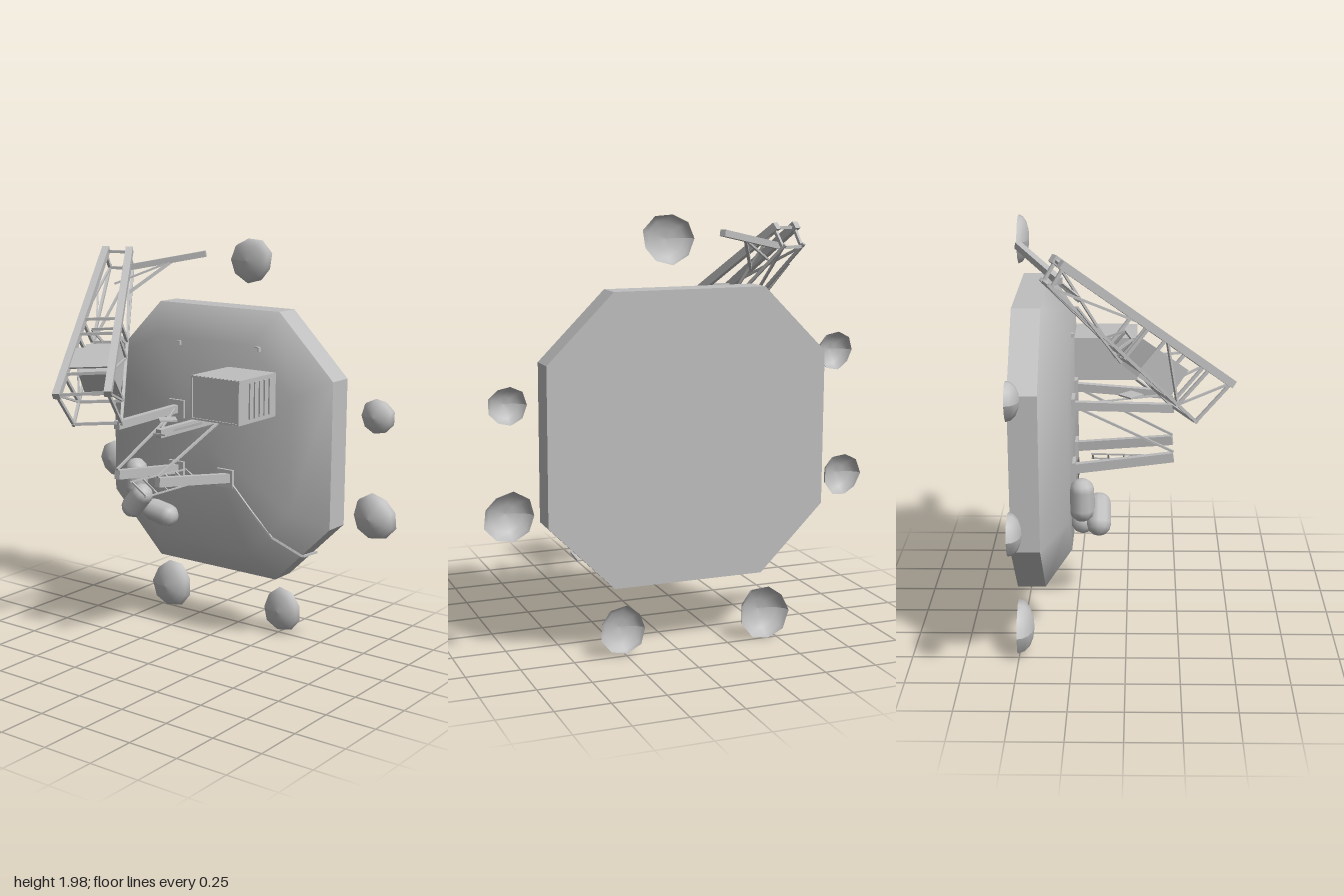
import * as THREE from 'three';

const grey = new THREE.MeshStandardMaterial({ color: 0xbfbfbf, side: THREE.DoubleSide });
grey.name = 'grey';
const V = (x, y, z) => new THREE.Vector3(x, y, z);
const mix = (a, b, t) => a.clone().lerp(b, t);

export function createModel() {
  const root = new THREE.Group();
  root.name = 'station';

  function add(parent, name, geometry, x = 0, y = 0, z = 0) {
    const mesh = new THREE.Mesh(geometry, grey);
    mesh.name = name;
    mesh.position.set(x, y, z);
    parent.add(mesh);
    return mesh;
  }
  // Rectangular bar running from point a to point b
  function bar(parent, name, a, b, w = 0.012, h = w) {
    const mesh = add(parent, name, new THREE.BoxGeometry(w, h, a.distanceTo(b)));
    mesh.position.copy(mix(a, b, 0.5));
    mesh.lookAt(b);
    return mesh;
  }
  function group(name) {
    const g = new THREE.Group();
    g.name = name;
    root.add(g);
    return g;
  }

  // Octagonal slab: smooth bevelled front, flat rim and back
  const slab = group('slab');
  slab.position.set(-0.052, 1.002, 0);
  const c = 0.36, r = 0.667;
  const outline = [[c, -r], [r, -c], [r, c], [c, r], [-c, r], [-r, c], [-r, -c], [-c, -r]];
  const pos = [0, 0, -0.253], idx = [];
  for (const [s, z] of [[0.77, -0.253], [1, -0.375]])
    for (const [x, y] of outline) pos.push(x * s, y * s, z);
  const rim = [];
  for (let i = 0; i < 8; i++) {
    const j = (i + 1) % 8;
    idx.push(0, 1 + i, 1 + j, 1 + i, 9 + i, 9 + j, 1 + i, 9 + j, 1 + j);
    const [a, b] = [outline[i], outline[j]];
    rim.push(...a, -0.375, ...a, -0.505, ...b, -0.505, ...a, -0.375, ...b, -0.505, ...b, -0.375);
  }
  const frontGeo = new THREE.BufferGeometry();
  frontGeo.setAttribute('position', new THREE.Float32BufferAttribute(pos, 3));
  frontGeo.setIndex(idx);
  frontGeo.computeVertexNormals();
  add(slab, 'slabFront', frontGeo);
  const rimGeo = new THREE.BufferGeometry();
  rimGeo.setAttribute('position', new THREE.Float32BufferAttribute(rim, 3));
  rimGeo.computeVertexNormals();
  add(slab, 'slabRim', rimGeo);
  const back = add(slab, 'slabBack', new THREE.ShapeGeometry(
    new THREE.Shape(outline.map(([x, y]) => new THREE.Vector2(x, y)))), 0, 0, -0.505);
  back.rotation.y = Math.PI;

  // Ring of shallow, uneven boulders, open at the back
  const boulders = [
    [0.055, 1.89, 0.125, 0.115, 0.05], [0.79, 1.2, 0.088, 0.09, 0.06],
    [0.79, 0.71, 0.12, 0.115, 0.075], [0.27, 0.135, 0.115, 0.115, 0.055],
    [-0.435, 0.135, 0.125, 0.135, 0.075], [-0.825, 0.77, 0.095, 0.105, 0.06],
    [-0.775, 1.36, 0.088, 0.09, 0.06]];
  boulders.forEach(([x, y, rx, ry, h], n) => {
    const geo = new THREE.SphereGeometry(1, 9, 4, 0, Math.PI * 2, 0, Math.PI / 2);
    geo.rotateX(Math.PI / 2);
    const p = geo.attributes.position;
    for (let i = 0; i < p.count; i++) {
      const a = Math.atan2(p.getY(i), p.getX(i));
      const k = 0.97 + 0.04 * Math.sin(2 * a + n * 1.7) + 0.03 * Math.sin(3 * a + n);
      p.setXYZ(i, p.getX(i) * k * rx, p.getY(i) * k * ry, p.getZ(i) * h);
    }
    geo.computeVertexNormals();
    add(root, 'boulder', geo, x, y, -0.505);
  });

  // Tapering lattice mast: two heavy chords above, two thin chords below
  const mast = group('mast');
  const tops = [V(-0.68, 1.925, -0.27), V(-0.56, 1.925, -0.31), V(-0.695, 1.84, -0.32), V(-0.58, 1.84, -0.36)];
  const ends = [V(-0.355, 1.31, 0.48), V(-0.135, 1.33, 0.37), V(-0.395, 1.14, 0.32), V(-0.19, 1.155, 0.21)];
  const at = (i, t) => mix(tops[i], ends[i], t);
  for (let i = 0; i < 4; i++) {
    const w = i < 2 ? 0.036 : 0.014;
    bar(mast, i < 2 ? 'mainChord' : 'rearChord', tops[i], ends[i], w, w);
  }
  const sides = [[0, 1], [1, 3], [3, 2], [2, 0]];
  for (const t of [0.02, 0.5, 0.6, 0.86, 0.99])
    for (const [i, j] of sides) bar(mast, 'crossbar', at(i, t), at(j, t), 0.014);
  for (const [i, j] of [[1, 3], [2, 0], [3, 2]]) {
    bar(mast, 'diagonal', at(i, 0.02), at(j, 0.5), 0.011);
    bar(mast, 'diagonal', at(j, 0.6), at(i, 0.86), 0.011);
  }
  bar(mast, 'diagonal', at(2, 0.86), at(0, 0.99), 0.01);
  bar(mast, 'diagonal', at(3, 0.86), at(1, 0.99), 0.01);

  // Housing and cover plate held between the chords
  const along = ends[0].clone().add(ends[1]).sub(tops[0]).sub(tops[1]).normalize();
  const across = ends[1].clone().sub(ends[0]).normalize();
  const out = across.clone().cross(along).normalize();
  across.crossVectors(along, out).normalize();
  const turn = new THREE.Matrix4().makeBasis(across, along, out);
  const housing = add(mast, 'housing', new THREE.BoxGeometry(0.17, 0.2, 0.15), -0.37, 1.39, 0.13);
  housing.setRotationFromMatrix(turn);
  const cover = add(mast, 'coverPlate', new THREE.BoxGeometry(0.19, 0.13, 0.009));
  cover.position.copy(mix(at(0, 0.76), at(1, 0.76), 0.5));
  cover.setRotationFromMatrix(turn);

  // Rear step frame and thin stay
  const step = [V(-0.52, 1.56, 0.03), V(-0.41, 1.57, 0.0), V(-0.38, 1.48, -0.07), V(-0.49, 1.47, -0.04)];
  step.forEach((p, i) => bar(mast, 'stepFrame', p, step[(i + 1) % 4], 0.012));
  bar(mast, 'stepStrut', step[0], at(2, 0.45), 0.01);
  bar(mast, 'stepStrut', step[1], at(3, 0.45), 0.01);
  bar(mast, 'stay', V(-0.68, 1.74, -0.2), V(-0.54, 1.46, -0.02), 0.009);

  // Side arm at the mast head
  bar(mast, 'sideArm', V(-0.58, 1.83, -0.28), V(-0.21, 1.91, -0.485), 0.03);
  bar(mast, 'armBrace', V(-0.48, 1.72, -0.2), V(-0.36, 1.87, -0.4), 0.014);
  bar(mast, 'armBrace', V(-0.57, 1.76, -0.2), V(-0.36, 1.87, -0.4), 0.01);

  // Equipment cabinet with raised front border and side slats
  const cabinet = group('cabinet');
  add(cabinet, 'cabinetBody', new THREE.BoxGeometry(0.275, 0.21, 0.295), 0.237, 1.295, -0.105);
  for (const s of [-1, 1]) {
    add(cabinet, 'frontBorder', new THREE.BoxGeometry(0.275, 0.008, 0.008), 0.237, 1.295 + s * 0.1, 0.045);
    add(cabinet, 'frontBorder', new THREE.BoxGeometry(0.008, 0.2, 0.008), 0.237 + s * 0.133, 1.295, 0.045);
  }
  for (let i = 0; i < 5; i++)
    add(cabinet, 'sideSlat', new THREE.BoxGeometry(0.008, 0.17, 0.018), 0.378, 1.295, -0.2 + i * 0.04);

  // Mounting plates, outrigger beams and ties
  const rig = group('outriggers');
  for (const x of [-0.21, 0.09])
    for (const y of [0.847, 1.16])
      add(rig, 'mountPlate', new THREE.BoxGeometry(0.095, 0.09, 0.02), x, y, -0.247);
  const lowTips = [V(-0.21, 0.91, 0.22), V(0.035, 0.91, 0.22)];
  const highTips = [V(-0.21, 1.15, 0.22), V(0.035, 1.14, 0.21)];
  const lowFeet = [V(-0.21, 0.85, -0.25), V(0.11, 0.85, -0.25)];
  const highFeet = [V(-0.21, 1.16, -0.25), V(0.09, 1.16, -0.25)];
  for (let i = 0; i < 2; i++) {
    bar(rig, 'lowerBeam', lowFeet[i], lowTips[i], 0.032, 0.045);
    bar(rig, 'upperBeam', highFeet[i], highTips[i], 0.032, 0.04);
    bar(rig, 'tie', lowTips[i].clone().setY(0.935), highFeet[i], 0.011);
  }
  bar(rig, 'crossTie', V(-0.2, 1.165, -0.22), highTips[1], 0.008);
  bar(rig, 'sideTie', V(0.04, 1.14, 0.14), V(0.16, 1.18, 0.04), 0.012);
  bar(rig, 'tipBar', V(0.01, 1.135, 0.215), V(0.08, 1.14, 0.215), 0.008);
  bar(rig, 'mastLink', V(-0.21, 1.16, 0.18), ends[3], 0.014);
  const pad = add(rig, 'pad', new THREE.BoxGeometry(0.085, 0.008, 0.085), -0.06, 1.165, 0.02);
  pad.rotation.y = Math.PI / 4;

  // Ladder lying between the lower beams
  const ladder = group('ladder');
  const railA = [V(-0.09, 0.88, -0.17), V(-0.13, 0.885, 0.22)];
  const railB = [V(-0.01, 0.83, -0.17), V(-0.04, 0.825, 0.22)];
  bar(ladder, 'rail', ...railA, 0.007);
  bar(ladder, 'rail', ...railB, 0.007);
  for (let i = 0; i < 6; i++) {
    const t = 0.02 + i * 0.19;
    bar(ladder, 'rung', mix(...railA, t), mix(...railB, t), 0.008);
  }

  // Three storage tanks
  const tanks = [[-0.435, 0.78, -0.2, 0], [-0.37, 0.685, -0.125, -0.7], [-0.28, 0.622, -0.2, 1.4]];
  for (const [x, y, z, tilt] of tanks)
    add(root, 'tank', new THREE.CapsuleGeometry(0.058, 0.09, 3, 10), x, y, z).rotation.z = tilt;

  // Cable running over the slab edge
  const run = [V(0.13, 0.82, -0.245), V(0.25, 0.7, -0.245), V(0.36, 0.59, -0.255),
    V(0.468, 0.485, -0.37), V(0.474, 0.48, -0.49)];
  for (let i = 0; i < 4; i++) bar(root, 'cable', run[i], run[i + 1], 0.01);

  // Small hooks on the slab face
  for (const [x, y] of [[0.27, 1.51], [-0.2, 1.5]]) {
    add(root, 'hook', new THREE.BoxGeometry(0.02, 0.005, 0.02), x, y, -0.25);
    add(root, 'hook', new THREE.BoxGeometry(0.005, 0.02, 0.02), x + 0.01, y - 0.01, -0.25);
  }
  return root;
}
